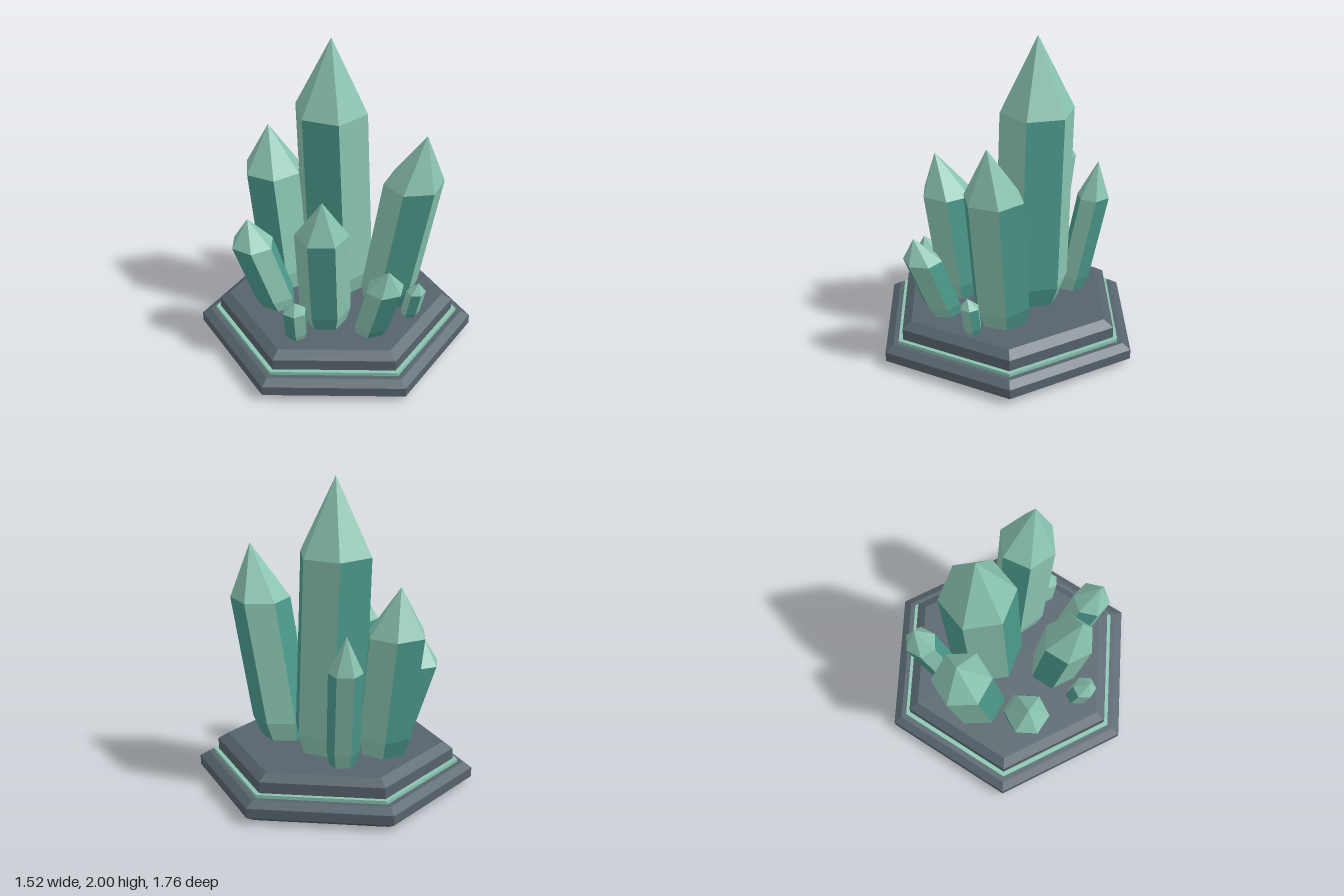
import * as THREE from 'three';

const material = (name, color) => {
  const m = new THREE.MeshStandardMaterial({ color, flatShading: true });
  m.name = name;
  return m;
};

// Six-sided crystal: foot, knee, shoulder and point, with alternate sides in a deeper colour.
function crystal(name, { knee, shoulder, tip, r, kneeR = r * 0.96, turn }, materials) {
  const k = new THREE.Vector3(...knee), s = new THREE.Vector3(...shoulder), t = new THREE.Vector3(...tip);
  const footY = 0.25;
  const foot = k.clone().lerp(s, (footY - k.y) / (s.y - k.y));
  const ring = (c, radius) => Array.from({ length: 6 }, (_, i) => {
    const a = THREE.MathUtils.degToRad(turn + i * 60);
    return new THREE.Vector3(c.x + Math.sin(a) * radius, c.y, c.z + Math.cos(a) * radius);
  });
  const rings = [ring(foot, kneeR * 0.78), ring(k, kneeR), ring(s, r)];
  const pale = [], deep = [];
  for (let i = 0; i < 6; i++) {
    const j = (i + 1) % 6;
    const side = i % 2 === 0 ? deep : pale;
    for (let n = 0; n < 2; n++) {
      const lo = rings[n], hi = rings[n + 1];
      side.push(lo[i], lo[j], hi[j], lo[i], hi[j], hi[i]);
    }
    pale.push(rings[2][i], rings[2][j], t);
  }
  const geometry = new THREE.BufferGeometry().setFromPoints([...pale, ...deep]);
  geometry.addGroup(0, pale.length, 0);
  geometry.addGroup(pale.length, deep.length, 1);
  geometry.computeVertexNormals();
  const mesh = new THREE.Mesh(geometry, materials);
  mesh.name = name;
  return mesh;
}

export function createModel() {
  const model = new THREE.Group();
  model.name = 'crystalCluster';
  const stone = material('slateStone', 0x56636c);
  const pale = material('paleGreenCrystal', 0x8ac4b0);
  const deep = material('deepTealCrystal', 0x4c9a8c);

  // Hexagonal plinth tiers: [name, material, bottom y, top y, bottom radius, top radius]
  const tiers = [
    ['plinthFoot', stone, 0, 0.04, 0.81, 0.88],
    ['plinthSlab', stone, 0.04, 0.1, 0.88, 0.88],
    ['plinthSlabBevel', stone, 0.1, 0.135, 0.88, 0.825],
    ['plinthTrim', pale, 0.135, 0.156, 0.788, 0.788],
    ['plinthBlock', stone, 0.156, 0.226, 0.757, 0.757],
    ['plinthTopBevel', stone, 0.226, 0.268, 0.757, 0.692],
  ];
  for (const [name, mat, y0, y1, r0, r1] of tiers) {
    const mesh = new THREE.Mesh(new THREE.CylinderGeometry(r1, r0, y1 - y0, 6), mat);
    mesh.position.y = (y0 + y1) / 2;
    mesh.name = name;
    model.add(mesh);
  }

  // Crystals: axis points, shoulder radius and turn in degrees
  const crystals = {
    mainCrystal: { knee: [-0.07, 0.4, -0.14], shoulder: [-0.12, 1.525, -0.147], tip: [-0.12, 2, -0.147], r: 0.237, kneeR: 0.238, turn: -18 },
    leftCrystal: { knee: [-0.39, 0.39, 0], shoulder: [-0.49, 1.06, -0.03], tip: [-0.52, 1.36, -0.035], r: 0.19, turn: -25 },
    rightCrystal: { knee: [0.32, 0.39, -0.14], shoulder: [0.46, 1.165, -0.165], tip: [0.54, 1.505, -0.165], r: 0.19, turn: 8 },
    frontCrystal: { knee: [0.095, 0.37, 0.29], shoulder: [0.12, 0.96, 0.365], tip: [0.16, 1.23, 0.425], r: 0.167, turn: 0 },
    frontLeftCrystal: { knee: [-0.285, 0.35, 0.29], shoulder: [-0.38, 0.745, 0.38], tip: [-0.4, 0.925, 0.4], r: 0.14, turn: -30 },
    frontRightCrystal: { knee: [0.41, 0.34, 0.24], shoulder: [0.525, 0.675, 0.3], tip: [0.57, 0.83, 0.335], r: 0.122, turn: 20 },
    backLeftCrystal: { knee: [-0.31, 0.36, -0.33], shoulder: [-0.39, 0.9, -0.415], tip: [-0.41, 1.135, -0.435], r: 0.105, turn: 5 },
    smallFrontCrystal: { knee: [0.025, 0.31, 0.52], shoulder: [0.04, 0.49, 0.56], tip: [0.06, 0.57, 0.585], r: 0.077, turn: -30 },
    smallRightCrystal: { knee: [0.525, 0.3, -0.05], shoulder: [0.56, 0.455, -0.05], tip: [0.58, 0.525, -0.047], r: 0.062, turn: 0 },
  };
  for (const [name, spec] of Object.entries(crystals)) model.add(crystal(name, spec, [pale, deep]));

  return model;
}
